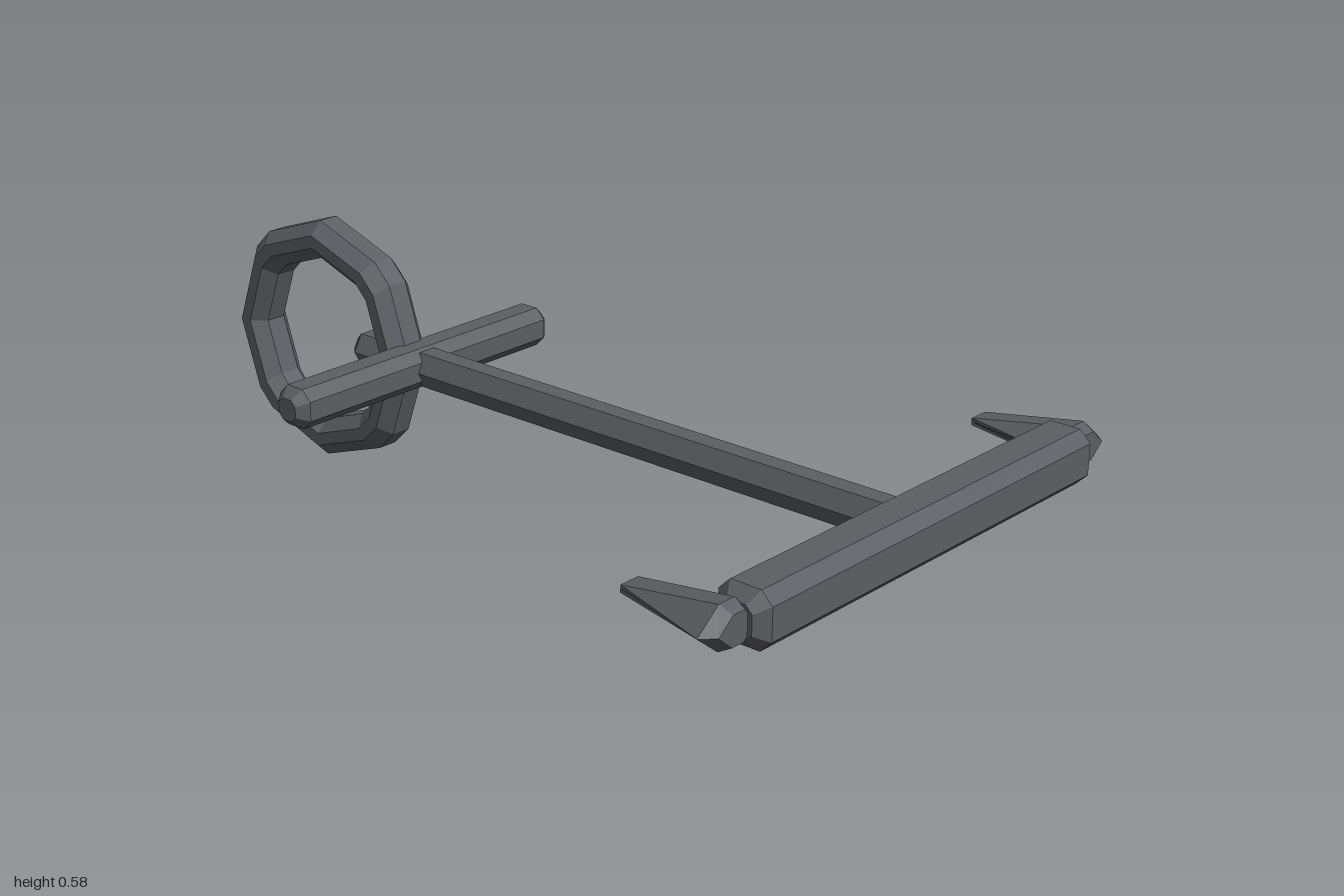
import * as THREE from 'three';

// Skins a list of equal-length rings of points; caps the ends unless closed
function loft(rings, closed = false) {
  const pos = [];
  const tri = (...pts) => pts.forEach((p) => pos.push(p.x, p.y, p.z));
  const n = rings[0].length;
  const spans = closed ? rings.length : rings.length - 1;
  for (let s = 0; s < spans; s++) {
    const a = rings[s], b = rings[(s + 1) % rings.length];
    for (let i = 0; i < n; i++) {
      const j = (i + 1) % n;
      tri(a[i], a[j], b[j]);
      tri(a[i], b[j], b[i]);
    }
  }
  if (!closed) {
    const first = rings[0], last = rings[rings.length - 1];
    for (let i = 1; i < n - 1; i++) {
      tri(first[0], first[i + 1], first[i]);
      tri(last[0], last[i], last[i + 1]);
    }
  }
  const geo = new THREE.BufferGeometry();
  geo.setAttribute('position', new THREE.Float32BufferAttribute(pos, 3));
  geo.computeVertexNormals();
  return geo;
}

// Rectangle with cut corners, counter-clockwise
const octagon = (w, h, c) => [
  [w, -h + c], [w, h - c], [w - c, h], [-w + c, h],
  [-w, h - c], [-w, -h + c], [-w + c, -h], [w - c, -h],
];
// Six-sided outline pointed at both sides
const hexagon = (w, flat, h) => [
  [w, 0], [flat, h], [-flat, h], [-w, 0], [-flat, -h], [flat, -h],
];
const atZ = (outline, z, cx = 0) => outline.map(([x, y]) => new THREE.Vector3(x + cx, y, z));
const scaled = (outline, k) => outline.map(([x, y]) => [x * k, y * k]);

// Bar along z with chamfered ends
function bar(outline, z0, z1, chamfer, k) {
  return loft([
    atZ(scaled(outline, k), z0), atZ(outline, z0 + chamfer),
    atZ(outline, z1 - chamfer), atZ(scaled(outline, k), z1),
  ]);
}

export function createModel() {
  const model = new THREE.Group();
  const iron = new THREE.MeshStandardMaterial({ color: 0x5c5e63 });
  iron.name = 'darkIron';
  const midY = 0.29;

  function add(name, geometry, y = midY, z = 0) {
    const mesh = new THREE.Mesh(geometry, iron);
    mesh.name = name;
    mesh.position.set(0, y, z);
    model.add(mesh);
  }

  // Long shaft
  add('shank', bar(hexagon(0.045, 0.0225, 0.04), -0.612, 0.93, 0.022, 0.55));

  // Small crossbar near the ring, wide arm at the front
  add('stock', bar(octagon(0.048, 0.046, 0.024), -0.396, 0.396, 0.025, 0.55).rotateY(Math.PI / 2), midY, -0.43);
  add('arm', bar(octagon(0.062, 0.061, 0.026), -0.555, 0.555, 0.027, 0.6).rotateY(Math.PI / 2), midY, 0.938);

  // Pointed flukes at the arm ends
  for (const side of [1, -1]) {
    add(side > 0 ? 'leftFluke' : 'rightFluke', loft([
      atZ(hexagon(0.025, 0.025, 0.008), 0.7, side * 0.57),
      atZ(hexagon(0.081, 0.022, 0.047), 0.937, side * 0.581),
      atZ(hexagon(0.055, 0.016, 0.032), 0.965, side * 0.581),
    ]));
  }

  // Faceted ring: single corners on the axes, paired corners on the diagonals
  const section = octagon(0.045, 0.055, 0.03);
  const rings = [];
  for (let quarter = 0; quarter < 4; quarter++) {
    for (const degrees of [0, 38.5, 51.5]) {
      const a = THREE.MathUtils.degToRad(quarter * 90 + degrees);
      rings.push(section.map(([r, x]) =>
        new THREE.Vector3(x, (0.243 + r) * Math.sin(a), (0.241 + r) * Math.cos(a))));
    }
  }
  add('ring', loft(rings, true), 0.288, -0.714);

  return model;
}
